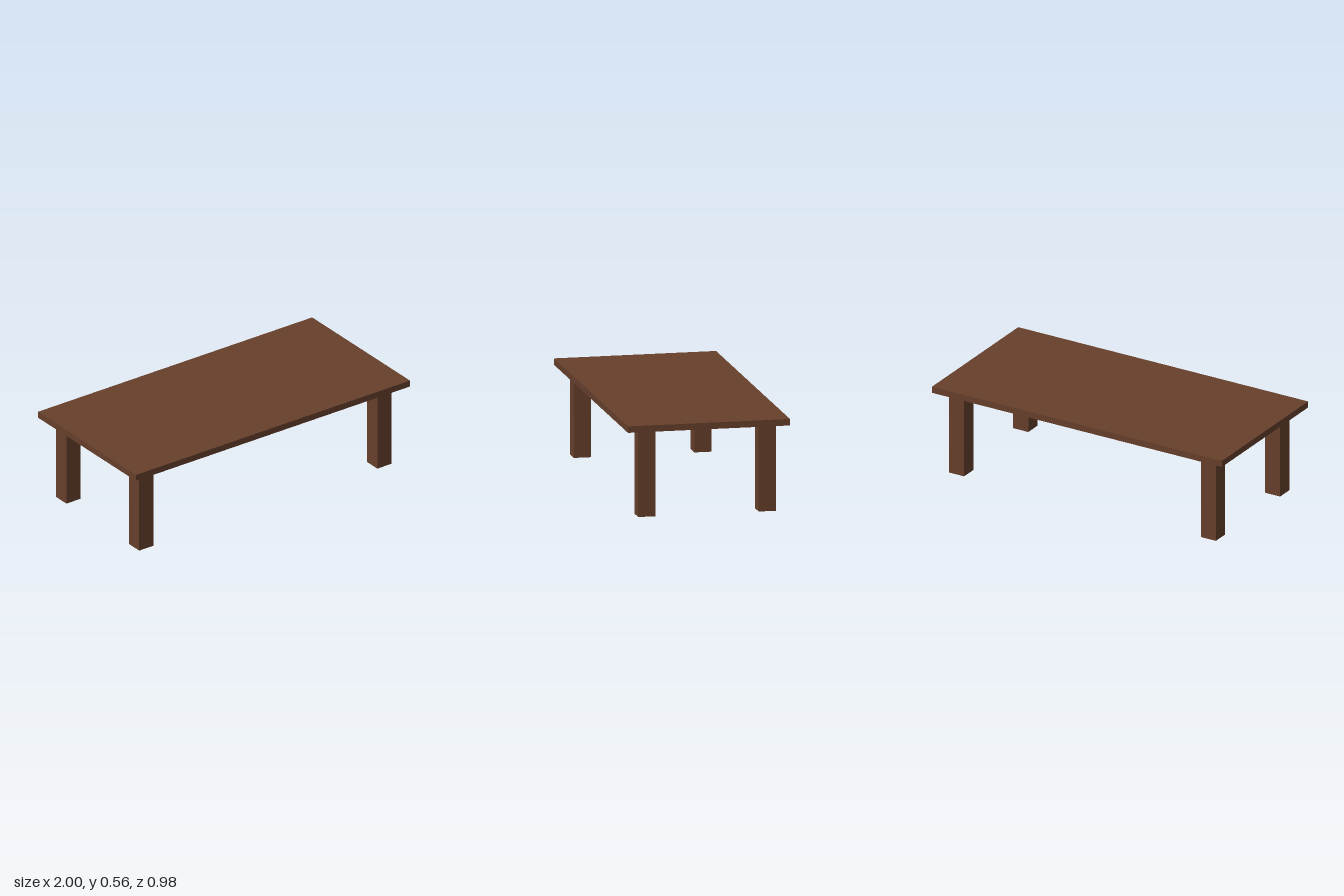
import * as THREE from 'three';

export function createModel() {
  const table = new THREE.Group();
  table.name = 'table';

  const wood = new THREE.MeshStandardMaterial({ color: 0x663f2b });
  wood.name = 'brown wood';

  const addBox = (name, size, position) => {
    const mesh = new THREE.Mesh(new THREE.BoxGeometry(...size), wood);
    mesh.name = name;
    mesh.position.set(...position);
    table.add(mesh);
  };

  const legHeight = 0.526;
  const topThickness = 0.039;
  const legWidth = 0.104;

  // Flat slab top
  addBox('tableTop', [2, topThickness, 0.978], [0, legHeight + topThickness / 2, 0]);

  // Four square legs, set slightly off centre
  for (const [side, x] of [['Right', -0.866], ['Left', 0.871]]) {
    for (const [end, z] of [['front', 0.358], ['back', -0.369]]) {
      addBox(`${end}${side}Leg`, [legWidth, legHeight, legWidth], [x, legHeight / 2, z]);
    }
  }

  return table;
}
